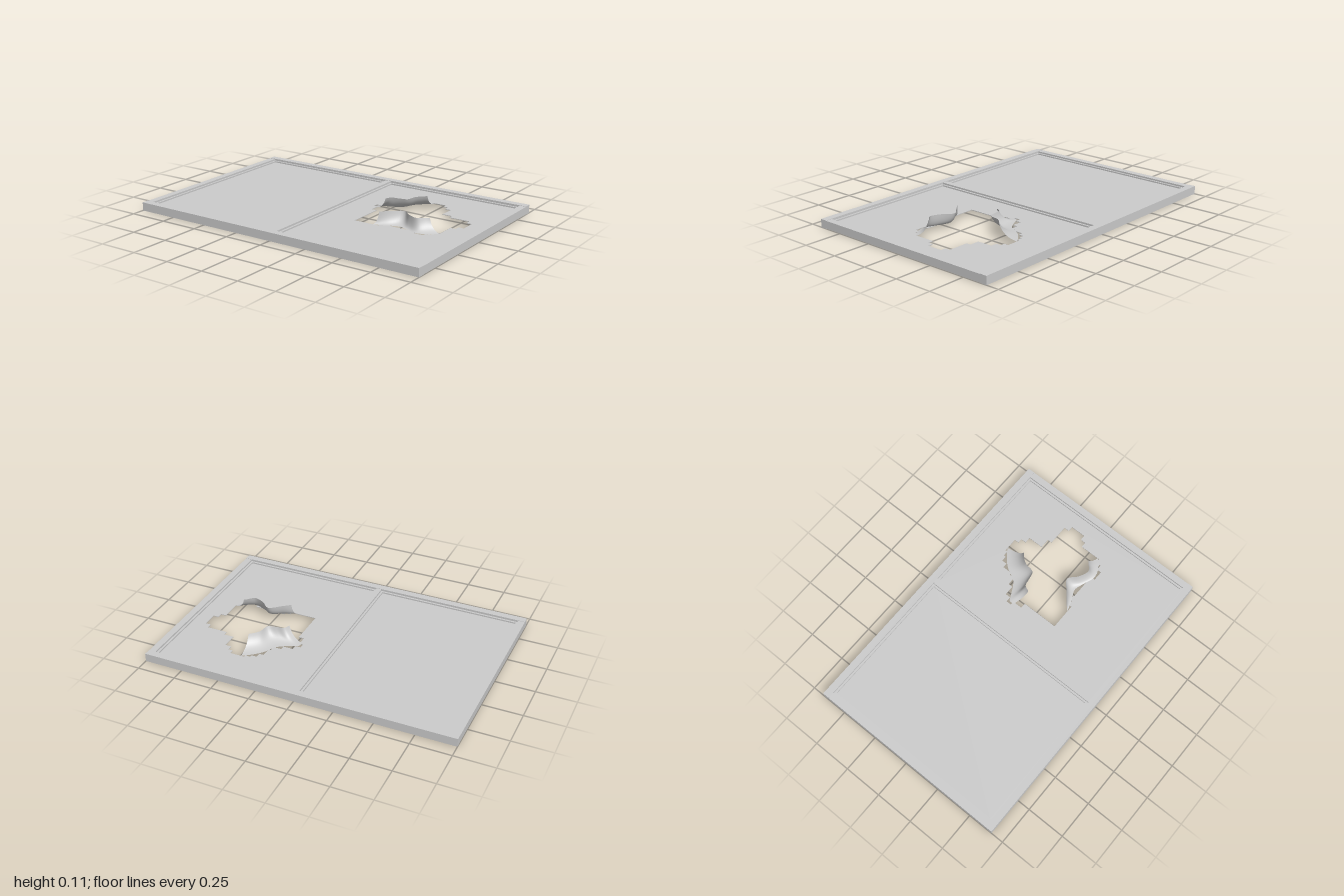
import * as THREE from 'three';

const FRAME_H = 0.053, PANE_Y = 0.027, PANE_T = 0.004;

export function createModel() {
  const root = new THREE.Group();
  root.name = 'brokenWindow';
  const frameMat = new THREE.MeshStandardMaterial({ color: 0xcccccc });
  const glassMat = new THREE.MeshStandardMaterial({ color: 0xcccccc, side: THREE.DoubleSide });

  // Box given by its limits on each axis
  const bar = (name, x0, x1, y0, y1, z0, z1) => {
    const mesh = new THREE.Mesh(new THREE.BoxGeometry(x1 - x0, y1 - y0, z1 - z0), frameMat);
    mesh.position.set((x0 + x1) / 2, (y0 + y1) / 2, (z0 + z1) / 2);
    mesh.name = name;
    root.add(mesh);
  };

  // Outer frame: long rails front and back, stiles and mullion between them
  bar('backRail', -1, 1, 0, FRAME_H, -0.667, -0.622);
  bar('frontRail', -1, 1, 0, FRAME_H, 0.622, 0.667);
  bar('rightStile', -1, -0.957, 0.002, FRAME_H - 0.002, -0.622, 0.622);
  bar('leftStile', 0.957, 1, 0.002, FRAME_H - 0.002, -0.622, 0.622);
  bar('mullion', -0.018, 0.018, 0.002, FRAME_H - 0.002, -0.622, 0.622);

  // Thin beads holding each pane
  for (const [x0, x1] of [[-0.957, -0.018], [0.018, 0.957]]) {
    const b = 0.013, y0 = 0.014, y1 = 0.04;
    bar('paneBead', x0, x0 + b, y0, y1, -0.622, 0.622);
    bar('paneBead', x1 - b, x1, y0, y1, -0.622, 0.622);
    bar('paneBead', x0 + b, x1 - b, y0, y1, -0.622, -0.622 + b);
    bar('paneBead', x0 + b, x1 - b, y0, y1, 0.622 - b, 0.622);
  }

  // Panes, drawn in x and z, then laid flat
  const pane = (name, x0, x1, hole) => {
    const z = 0.615;
    const shape = new THREE.Shape([[x0, -z], [x1, -z], [x1, z], [x0, z]].map(p => new THREE.Vector2(...p)));
    if (hole) shape.holes.push(new THREE.Path(hole.map(p => new THREE.Vector2(p[0], -p[1]))));
    const geo = new THREE.ExtrudeGeometry(shape, { depth: PANE_T, bevelEnabled: false });
    geo.rotateX(-Math.PI / 2);
    const mesh = new THREE.Mesh(geo, glassMat);
    mesh.position.y = PANE_Y;
    mesh.name = name;
    root.add(mesh);
  };
  // Stepped outline of the hole
  const hole = [
    [0.455, -0.42], [0.55, -0.42], [0.55, -0.39], [0.58, -0.39], [0.58, -0.355], [0.62, -0.355],
    [0.62, -0.255], [0.685, -0.255], [0.685, -0.225], [0.82, -0.225], [0.82, -0.19], [0.855, -0.19],
    [0.855, -0.09], [0.82, -0.09], [0.82, -0.055], [0.785, -0.055], [0.785, 0.085], [0.755, 0.085],
    [0.755, 0.12], [0.72, 0.12], [0.72, 0.15], [0.655, 0.15], [0.655, 0.12], [0.485, 0.12],
    [0.485, 0.115], [0.45, 0.115], [0.45, 0.13], [0.415, 0.13], [0.415, 0.15], [0.245, 0.15],
    [0.245, -0.09], [0.21, -0.09], [0.21, -0.155], [0.185, -0.155], [0.185, -0.19], [0.22, -0.19],
    [0.22, -0.225], [0.285, -0.225], [0.285, -0.255], [0.34, -0.255], [0.34, -0.29], [0.355, -0.29],
    [0.355, -0.355], [0.385, -0.355], [0.385, -0.39], [0.42, -0.39], [0.42, -0.405], [0.455, -0.405],
  ];
  pane('wholePane', -0.95, -0.012);
  pane('brokenPane', 0.012, 0.95, hole);

  // Torn flaps: a surface curling up from a base line on the pane to a raised lip
  const flap = (name, base, lip, topY) => {
    const curve = pts => new THREE.CatmullRomCurve3(pts.map(([x, z]) => new THREE.Vector3(x, 0, z)));
    const a = curve(base), c = curve(lip), U = 32, V = 10, y0 = PANE_Y + PANE_T;
    const geo = new THREE.PlaneGeometry(1, 1, U, V);
    const pos = geo.attributes.position;
    for (let j = 0; j <= V; j++) for (let i = 0; i <= U; i++) {
      const t = j / V, k = 2 * t * (1 - t);
      const s = 0.78 * k + t * t, h = 0.08 * k + t * t;
      const p = a.getPoint(i / U).lerp(c.getPoint(i / U), s);
      pos.setXYZ(j * (U + 1) + i, p.x, y0 + (topY - y0) * h, p.z);
    }
    geo.computeVertexNormals();
    const mesh = new THREE.Mesh(geo, glassMat);
    mesh.name = name;
    root.add(mesh);
  };
  flap('backFlap',
    [[0.2, -0.145], [0.2, -0.175], [0.245, -0.2], [0.32, -0.245], [0.37, -0.33], [0.42, -0.38], [0.475, -0.42]],
    [[0.3, -0.107], [0.32, -0.145], [0.37, -0.155], [0.42, -0.17], [0.435, -0.235], [0.46, -0.27], [0.487, -0.295]],
    0.112);
  flap('frontFlap',
    [[0.375, 0.15], [0.45, 0.125], [0.52, 0.095], [0.59, 0.115], [0.67, 0.14], [0.75, 0.11], [0.785, 0.075]],
    [[0.4, 0.12], [0.45, 0.08], [0.52, 0.028], [0.58, 0.075], [0.65, 0.1], [0.69, 0.065], [0.707, 0.053]],
    0.108);

  return root;
}
